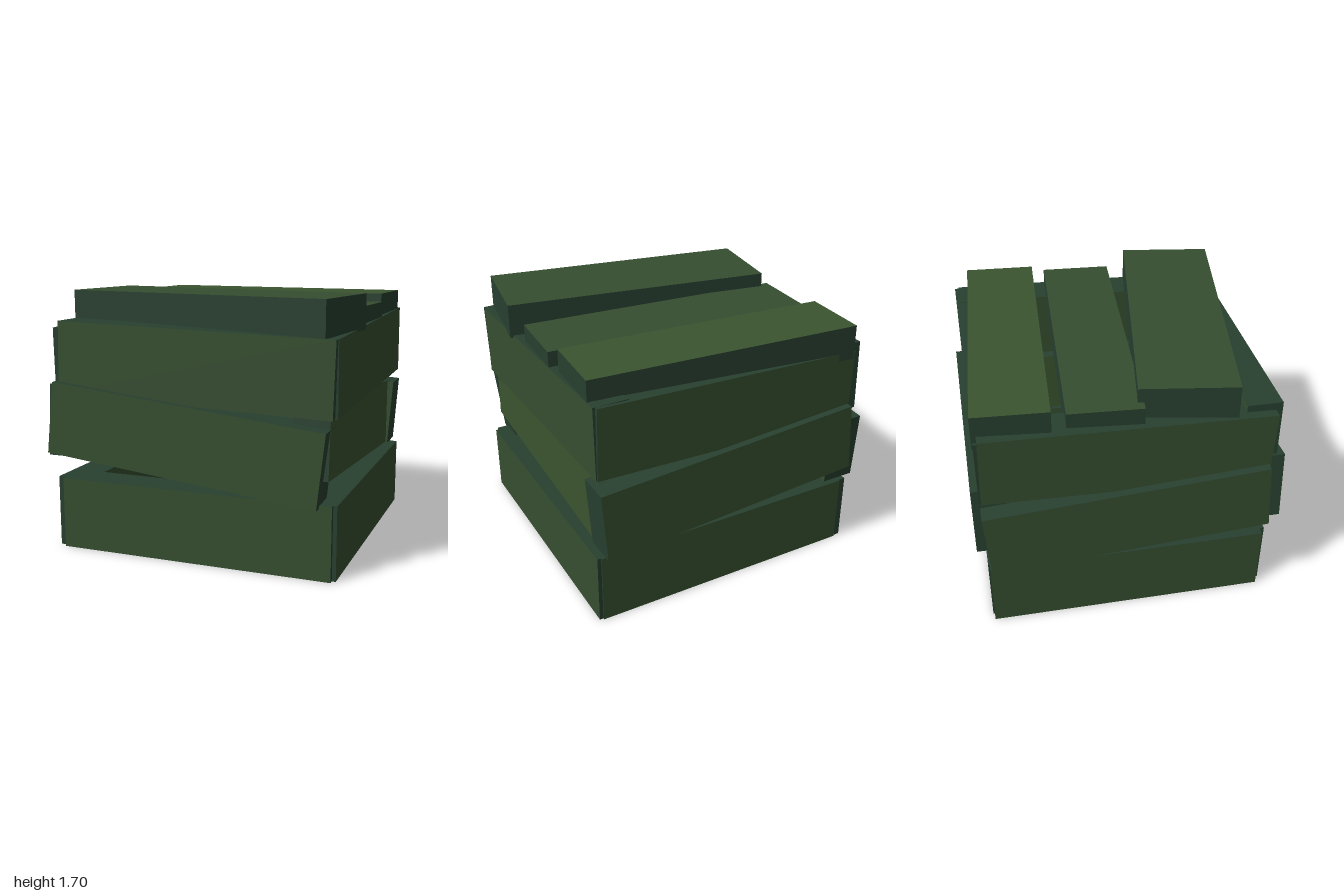
import * as THREE from 'three';

const LENGTH = 1.84, HEIGHT = 0.475, THICK = 0.23;

export function createModel() {
  const model = new THREE.Group();
  model.name = 'plankCrate';
  const edge = new THREE.MeshStandardMaterial({ color: 0x284030 });
  const face = new THREE.MeshStandardMaterial({ color: 0x364e30 });
  const brightFace = new THREE.MeshStandardMaterial({ color: 0x3a542f });

  // A plank: broad faces lie across its thin axis (0 = x, 1 = y, 2 = z), the rest are edges
  function plank(name, size, thinAxis, position, rotation, bright = false) {
    const broad = bright ? brightFace : face;
    const materials = [0, 0, 1, 1, 2, 2].map(axis => (axis === thinAxis ? broad : edge));
    const mesh = new THREE.Mesh(new THREE.BoxGeometry(...size), materials);
    mesh.name = name;
    mesh.position.set(...position);
    mesh.rotation.set(...rotation);
    model.add(mesh);
  }

  // Wall layers, bottom to top: [across offset, along offset, tilt] for each plank
  const layers = [
    { name: 'lower', y: 0.24, front: [0.825, 0.03, 0], back: [-0.825, 0.03, 0],
      right: [0.86, -0.01, 0], left: [-0.825, -0.01, 0] },
    { name: 'middle', y: 0.796, front: [0.885, -0.02, -0.109], back: [-0.885, 0.03, -0.07],
      right: [-0.885, -0.015, -0.07], left: [0.805, -0.015, -0.07], brightLeft: true },
    { name: 'upper', y: 1.262, front: [0.838, 0.034, -0.027], back: [-0.838, 0.034, 0.027],
      right: [-0.83, -0.015, 0.027], left: [0.85, -0.015, 0.027] },
  ];
  // The lower layer lists its sides by position; order them so left is +x
  [layers[0].left, layers[0].right] = [layers[0].right, layers[0].left];

  for (const layer of layers) {
    for (const end of ['front', 'back']) {
      const [z, x, tilt] = layer[end];
      plank(`${layer.name}_${end}Plank`, [LENGTH, HEIGHT, THICK], 2, [x, layer.y, z], [0, 0, tilt]);
    }
    for (const side of ['left', 'right']) {
      const [x, z, tilt] = layer[side];
      plank(`${layer.name}_${side}Plank`, [THICK, HEIGHT, LENGTH], 0, [x, layer.y, z], [tilt, 0, 0],
        side === 'left' && layer.brightLeft);
    }
  }

  // Loose lid planks, front to back: [width, top height, z, turn, bright]
  const lid = [
    [0.62, 1.705, 0.4925, -0.154, false],
    [0.475, 1.61, -0.1025, -0.06, false],
    [0.475, 1.66, -0.6675, -0.06, true],
  ];
  lid.forEach(([width, top, z, turn, bright], i) =>
    plank(`lidPlank${i + 1}`, [LENGTH, THICK, width], 1, [0.03, top - THICK / 2, z], [0, turn, 0], bright));

  return model;
}
